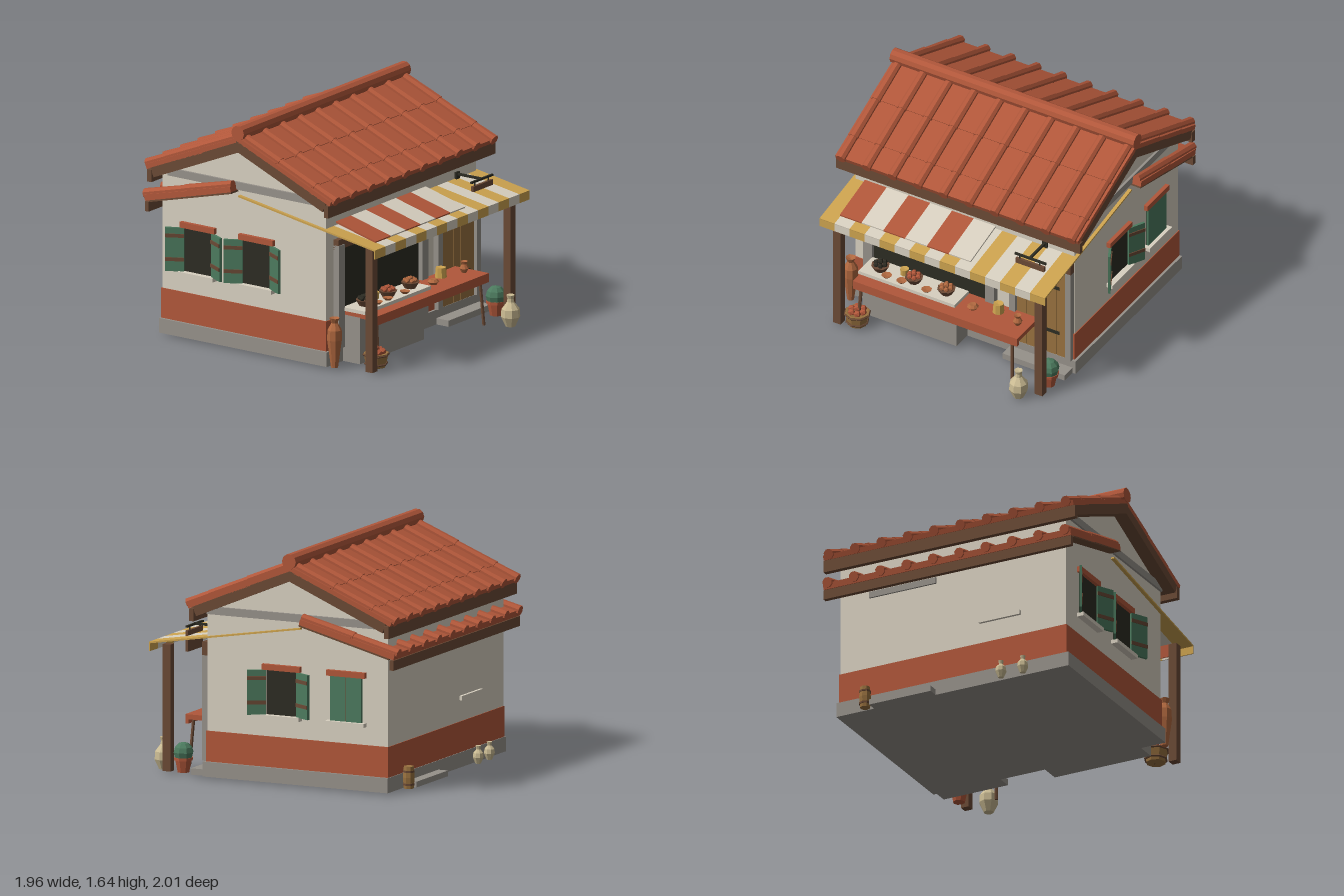
import * as THREE from 'three';

const mat = (name, color) => {
  const m = new THREE.MeshStandardMaterial({ color, flatShading: true });
  m.name = name;
  return m;
};

export function createModel() {
  const root = new THREE.Group();
  root.name = 'marketHouse';
  const M = {
    cream: mat('plaster', 0xd8d0c0), red: mat('terracotta', 0xb1573a), stone: mat('stone', 0x96918a),
    brown: mat('darkWood', 0x6b4a35), tan: mat('plankWood', 0x98713f), yellow: mat('yellowCloth', 0xcda34f),
    green: mat('greenPaint', 0x4c7a5e), dark: mat('shadowBlack', 0x2d2c23), clay: mat('clay', 0xb0683f),
    sand: mat('paleClay', 0xcabb93),
  };

  const add = (name, geo, m, parent = root) => {
    const mesh = new THREE.Mesh(geo, m);
    mesh.name = name;
    parent.add(mesh);
    return mesh;
  };
  // Box given by its minimum and maximum on each axis
  const box = (name, m, x0, x1, y0, y1, z0, z1, parent = root) => {
    const b = add(name, new THREE.BoxGeometry(x1 - x0, y1 - y0, z1 - z0), m, parent);
    b.position.set((x0 + x1) / 2, (y0 + y1) / 2, (z0 + z1) / 2);
    return b;
  };
  const group = (name, x, y, z, parent = root) => {
    const g = new THREE.Group();
    g.name = name;
    g.position.set(x, y, z);
    parent.add(g);
    return g;
  };
  // Turned pot from [radius, height] pairs
  const pot = (name, m, pts, x, y, z, parent = root, sides = 8) => {
    const p = add(name, new THREE.LatheGeometry(pts.map(([r, h]) => new THREE.Vector2(r, h)), sides), m, parent);
    p.position.set(x, y, z);
    return p;
  };
  const ball = (name, m, r, x, y, z, parent = root) => {
    const b = add(name, new THREE.IcosahedronGeometry(r, 0), m, parent);
    b.position.set(x, y, z);
    return b;
  };
  // Straight bar between two points
  const bar = (name, m, a, b, r) => {
    const A = new THREE.Vector3(...a), d = new THREE.Vector3(...b).sub(A);
    const c = add(name, new THREE.CylinderGeometry(r, r, d.length(), 6), m);
    c.position.copy(A).addScaledVector(d, 0.5);
    c.quaternion.setFromUnitVectors(new THREE.Vector3(0, 1, 0), d.normalize());
  };

  // Walls, plinth and painted dado
  const gable = new THREE.Shape([[0.5, 0.1], [0.5, 1.17], [-0.18, 1.46], [-0.895, 1.155], [-0.895, 0.1]]
    .map(([z, y]) => new THREE.Vector2(z, y)));
  const wallGeo = new THREE.ExtrudeGeometry(gable, { depth: 1.76, bevelEnabled: false });
  wallGeo.translate(0, 0, -0.88).rotateY(-Math.PI / 2);
  add('walls', wallGeo, M.cream);
  box('plinth', M.stone, -0.905, 0.905, 0.015, 0.12, -0.905, 0.525);
  box('dado', M.red, -0.887, 0.887, 0.12, 0.335, -0.9, 0.508);
  for (const s of [-1, 1]) {
    const b = box('tieBeam', M.stone, -0.012, 0.012, 1.155, 1.21, -0.84, 0.5);
    b.position.x = s * 0.885;
  }

  // Tiled slope running down +z from its own origin
  const slope = (name, parent, y, z, angle, halfW, ends, tileT, woodT) => {
    const g = group(name, 0, y, z, parent);
    g.rotation.x = angle;
    const len = ends[ends.length - 1];
    box('roofBoards', M.brown, -halfW, halfW, -tileT - woodT, -tileT, 0, len - 0.035, g);
    ends.forEach((e, i) => {
      const s = i ? ends[i - 1] : 0;
      const t = box('tileCourse', M.red, -halfW, halfW, -tileT, 0, s, e, g);
      t.position.y -= 0.003;
      t.rotation.x = -0.015;
      for (let k = 0; k < 10; k++) {
        const geo = new THREE.CylinderGeometry(0.037, 0.031, e - s + 0.015, 8);
        const rib = add('ribTile', geo.rotateY(Math.PI / 8).rotateX(Math.PI / 2), M.red, g);
        rib.position.set(-0.925 + k * 0.2055, 0, (s + e) / 2 + 0.006);
      }
    });
    return g;
  };
  const front = group('frontRoof', 0, 0, -0.18), back = group('backRoof', 0, 0, -0.18);
  back.rotation.y = Math.PI;
  for (const g of [front, back]) {
    slope('mainSlope', g, 1.565, 0, 0.398, 0.975, [0.345, 0.67, 0.86], 0.035, 0.07);
    box('eaveBoard', M.brown, -0.98, 0.98, 1.112, 1.2, 0.735, 0.772, g);
  }
  const ridge = add('ridge', new THREE.CylinderGeometry(0.054, 0.054, 1.96, 10).rotateZ(Math.PI / 2), M.red);
  ridge.position.set(0, 1.59, -0.18);
  const lower = group('lowerRoof', 0, 0, -0.26);
  lower.rotation.y = Math.PI;
  slope('lowerSlope', lower, 1.195, 0, 0.251, 0.965, [0.4, 0.755], 0.045, 0.012);
  box('lowerEaveBoard', M.brown, -0.965, 0.965, 0.89, 0.96, 0.69, 0.722, lower);

  // Side windows with shutters
  const shutter = (g, s, open) => {
    const h = group('shutter', s * 0.12, 0.645, 0.012, g);
    h.rotation.y = open ? -s * 0.48 : 0;
    const dir = open ? s : -s, w = open ? 0.132 : 0.117;
    const x0 = Math.min(0, dir * w), x1 = Math.max(0, dir * w);
    box('shutterPanel', M.green, x0, x1, -0.157, 0.157, -0.008, 0.01, h);
    if (open) for (const y of [-0.07, 0.1]) box('shutterStrap', M.brown, x0, x1, y - 0.013, y + 0.013, 0.01, 0.016, h);
  };
  const makeWindow = (side, z, open) => {
    const g = group('window', side * 0.88, 0, z);
    g.rotation.y = side * Math.PI / 2;
    box('opening', M.dark, -0.12, 0.12, 0.49, 0.8, 0, 0.007, g);
    if (!open) box('shutterSeam', M.brown, -0.005, 0.005, 0.49, 0.8, 0.007, 0.02, g);
    box('lintel', M.red, -0.148, 0.148, 0.803, 0.843, -0.01, 0.03, g);
    box('sill', M.cream, -0.15, 0.15, 0.462, 0.49, -0.01, 0.05, g);
    for (const s of [-1, 1]) shutter(g, s, open);
  };
  makeWindow(1, -0.08, true);
  makeWindow(1, -0.58, false);
  makeWindow(-1, -0.08, true);
  makeWindow(-1, -0.58, true);

  // Shop front: opening, stone frames and planked door
  box('shopOpening', M.dark, -0.725, 0.195, 0.12, 0.83, 0.505, 0.513);
  for (const [x0, x1] of [[-0.79, -0.72], [0.19, 0.262], [0.38, 0.43], [0.83, 0.875]])
    box('stoneJamb', M.stone, x0, x1, 0.12, 0.86, 0.49, 0.545);
  box('shopLintel', M.brown, -0.79, 0.262, 0.83, 0.9, 0.49, 0.54);
  box('doorLintel', M.brown, 0.38, 0.875, 0.86, 0.955, 0.49, 0.543);
  for (let i = 0; i < 5; i++)
    box('doorPlank', M.tan, 0.432 + i * 0.08, 0.508 + i * 0.08, 0.12, 0.86, 0.5, 0.522);
  box('doorGaps', M.brown, 0.43, 0.83, 0.12, 0.86, 0.5, 0.515);
  for (const y of [0.3, 0.68]) box('doorHinge', M.dark, 0.445, 0.775, y, y + 0.025, 0.522, 0.528);
  box('doorStep', M.stone, 0.38, 0.88, 0.015, 0.06, 0.52, 0.63);

  // Back doorstep, lintel and sill
  box('backStep', M.stone, 0.13, 0.61, 0.015, 0.055, -0.98, -0.9);
  box('backLintel', M.stone, 0.13, 0.65, 0.865, 0.91, -0.908, -0.89);
  box('backSill', M.cream, -0.53, -0.21, 0.485, 0.515, -0.915, -0.89);

  // Counter and table
  box('counterBlock', M.stone, -0.715, 0.035, 0.015, 0.35, 0.5, 0.67);
  box('tableTop', M.red, -0.715, 0.605, 0.345, 0.38, 0.52, 0.81);
  box('tableApron', M.red, -0.715, 0.605, 0.315, 0.345, 0.785, 0.81);
  for (const x of [-0.665, 0.545])
    bar('tableLeg', M.brown, [x, 0.345, 0.775], [x + Math.sign(x) * 0.015, 0.015, 0.8], 0.012);
  box('servingSlab', M.cream, -0.725, 0.05, 0.38, 0.405, 0.53, 0.72);

  // Awning posts and sloped cloths
  for (const x of [-0.81, 0.81]) box('awningPost', M.brown, x - 0.03, x + 0.03, 0.015, 0.905, 0.807, 0.866);
  const cloth = (name, x0, x1, n, colors, za, ya, zb, yb, drop) => {
    const g = group(name, 0, ya, za), w = (x1 - x0) / n;
    g.rotation.x = Math.atan2(ya - yb, zb - za);
    for (let i = 0; i < n; i++) {
      const l = x0 + i * w, m = colors[i % 2];
      box('clothStripe', m, l, l + w, -0.006, 0.006, 0, Math.hypot(zb - za, yb - ya), g);
      box('clothValance', m, l, l + w, yb - drop, yb, zb - 0.008, zb);
    }
  };
  cloth('awning', -0.905, 0.905, 15, [M.yellow, M.cream], -0.23, 1.112, 0.938, 0.92, 0.06);
  cloth('overCloth', -0.79, 0.26, 6, [M.red, M.cream], 0.52, 1.03, 0.858, 0.943, 0.107);

  // Hanging sign on an iron bracket
  box('signPlate', M.dark, 0.63, 0.67, 0.98, 1.045, 0.5, 0.515);
  box('signArm', M.dark, 0.642, 0.658, 1.022, 1.038, 0.5, 0.72);
  box('signBar', M.dark, 0.53, 0.78, 1.022, 1.036, 0.705, 0.72);
  for (const x of [0.57, 0.73]) box('signHook', M.dark, x - 0.004, x + 0.004, 0.99, 1.03, 0.71, 0.718);
  box('signBoard', M.brown, 0.54, 0.77, 0.852, 1.0, 0.705, 0.725);

  // Bowls of produce on the slab
  const heap = (m, r, s, x, y, z) => {
    for (let i = 0; i < 7; i++) {
      const a = i * Math.PI / 3, d = i < 6 ? r : 0;
      ball('fruit', m, s, x + d * Math.cos(a), y + (i < 6 ? 0 : s * 0.7), z + d * Math.sin(a));
    }
  };
  [[-0.6, M.dark], [-0.33, M.red], [-0.07, M.clay]].forEach(([x, m]) => {
    pot('bowl', M.brown, [[0, 0], [0.04, 0], [0.066, 0.045], [0.055, 0.045], [0, 0.035]], x, 0.405, 0.63);
    heap(m, 0.035, 0.02, x, 0.46, 0.63);
  });
  for (const x of [-0.52, -0.4, -0.2])
    pot('dish', M.clay, [[0, 0], [0.02, 0], [0.038, 0.018], [0, 0.01]], x, 0.405, 0.68);
  pot('smallCup', M.yellow, [[0, 0], [0.028, 0], [0.032, 0.05], [0, 0.045]], -0.43, 0.405, 0.59);
  pot('lowPot', M.clay, [[0, 0], [0.025, 0], [0.042, 0.02], [0.025, 0.038], [0, 0.035]], 0.16, 0.38, 0.66);
  pot('mug', M.yellow, [[0, 0], [0.042, 0], [0.036, 0.072], [0, 0.065]], 0.33, 0.38, 0.6);
  pot('jug', M.clay, [[0, 0], [0.018, 0], [0.034, 0.03], [0.017, 0.06], [0.026, 0.08], [0, 0.07]], 0.52, 0.38, 0.66);

  // Jars, basket and plant on the ground
  pot('amphora', M.clay, [[0, 0], [0.025, 0], [0.052, 0.2], [0.05, 0.27], [0.022, 0.32], [0.036, 0.355], [0, 0.34]],
    -0.875, 0.015, 0.57);
  pot('paleJar', M.sand, [[0, 0], [0.035, 0], [0.068, 0.07], [0.064, 0.125], [0.025, 0.175], [0.022, 0.2],
    [0.03, 0.225], [0, 0.22]], 0.69, 0, 0.932);
  pot('basket', M.tan, [[0, 0], [0.068, 0], [0.088, 0.1], [0.076, 0.1], [0, 0.08]], -0.69, 0.015, 0.79);
  for (const [y, r] of [[0.04, 0.077], [0.105, 0.089]]) {
    const hoop = add('basketHoop', new THREE.TorusGeometry(r, 0.008, 5, 8).rotateX(Math.PI / 2), M.brown);
    hoop.position.set(-0.69, y, 0.79);
  }
  heap(M.red, 0.046, 0.027, -0.69, 0.125, 0.79);
  pot('plantPot', M.red, [[0, 0], [0.042, 0], [0.06, 0.085], [0.068, 0.085], [0.068, 0.105], [0, 0.1]], 0.81, 0.015, 0.72);
  const bush = add('bush', new THREE.SphereGeometry(0.072, 8, 6), M.green);
  bush.position.set(0.81, 0.155, 0.72);

  // Barrel and small jars behind the house
  pot('barrel', M.tan, [[0, 0], [0.036, 0], [0.043, 0.078], [0.036, 0.155], [0, 0.15]], 0.66, 0.015, -0.945);
  for (const y of [0.045, 0.135]) {
    const hoop = add('barrelHoop', new THREE.CylinderGeometry(0.043, 0.043, 0.014, 8), M.brown);
    hoop.position.set(0.66, y, -0.945);
  }
  for (const x of [-0.4, -0.57])
    pot('smallJar', M.sand, [[0, 0], [0.02, 0], [0.04, 0.045], [0.036, 0.075], [0.014, 0.1], [0.02, 0.125], [0, 0.12]],
      x, 0.015, -0.945);
  return root;
}
